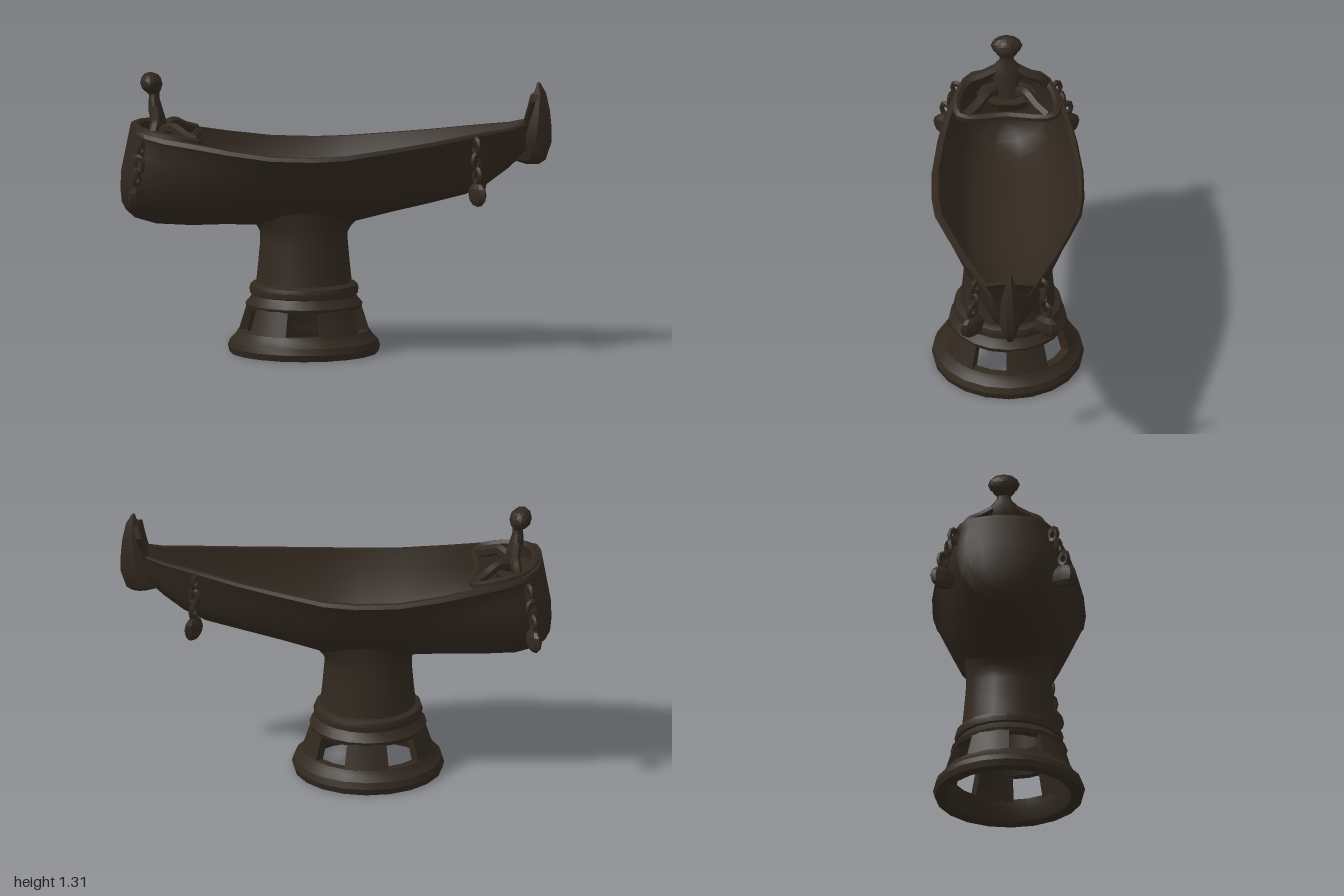
import * as THREE from 'three';
import { toCreasedNormals } from 'three/addons/utils/BufferGeometryUtils.js';

const bronze = new THREE.MeshStandardMaterial({ color: 0x31281f, side: THREE.DoubleSide });
const V = (x, y, z) => new THREE.Vector3(x, y, z);
const CX = -0.15; // axis of the pedestal

function part(parent, name, geometry, crease = 0.5) {
  const mesh = new THREE.Mesh(toCreasedNormals(geometry, crease), bronze);
  mesh.name = name;
  parent.add(mesh);
  return mesh;
}

// Skin through closed loops of equal length, optionally capped at both ends
function loft(loops, caps = true) {
  const n = loops[0].length, pos = [], idx = [];
  loops.forEach(l => l.forEach(p => pos.push(p.x, p.y, p.z)));
  for (let i = 0; i < loops.length - 1; i++) {
    for (let j = 0; j < n; j++) {
      const a = i * n + j, b = i * n + (j + 1) % n;
      idx.push(a, b, a + n, b, b + n, a + n);
    }
  }
  if (caps) {
    [0, loops.length - 1].forEach((row, end) => {
      const c = loops[row].reduce((s, p) => s.add(p), V(0, 0, 0)).divideScalar(n);
      const k = pos.length / 3;
      pos.push(c.x, c.y, c.z);
      for (let j = 0; j < n; j++) {
        const a = row * n + j, b = row * n + (j + 1) % n;
        if (end) idx.push(k, a, b); else idx.push(k, b, a);
      }
    });
  }
  const g = new THREE.BufferGeometry();
  g.setAttribute('position', new THREE.Float32BufferAttribute(pos, 3));
  g.setIndex(idx);
  g.computeVertexNormals();
  return g;
}

const lathe = pts => new THREE.LatheGeometry(pts.map(p => new THREE.Vector2(...p)), 20).translate(CX, 0, 0);

const tube = (pts, r, closed = false) =>
  new THREE.TubeGeometry(new THREE.CatmullRomCurve3(pts.map(p => V(...p)), closed), closed ? 32 : 14, r, 6, closed);

function addPedestal(g) {
  part(g, 'footRing', lathe([[0.29, 0], [0.345, 0], [0.353, 0.03], [0.343, 0.06], [0.318, 0.082],
    [0.305, 0.105], [0.265, 0.105], [0.27, 0.05], [0.29, 0]]));
  // Five pillars leave five windows between them
  for (let k = 0; k < 5; k++) {
    const loops = [16, 26, 36, 46, 56].map(deg => {
      const a = THREE.MathUtils.degToRad(deg + 72 * k);
      return [[0.265, 0.09], [0.307, 0.09], [0.266, 0.22], [0.23, 0.22]]
        .map(([r, y]) => V(CX + r * Math.sin(a), y, r * Math.cos(a)));
    });
    part(g, 'windowPillar', loft(loops));
  }
  part(g, 'collar', lathe([[0.23, 0.21], [0.266, 0.21], [0.272, 0.23], [0.25, 0.255], [0.24, 0.27],
    [0.25, 0.275], [0.253, 0.3], [0.247, 0.318], [0.222, 0.33], [0.2, 0.33], [0.23, 0.21]]));
  // Stem widens along the length of the hull where it meets it
  const stem = lathe([[0.222, 0.325], [0.212, 0.42], [0.203, 0.52], [0.2, 0.56], [0.2, 0.59], [0.2, 0.62], [0.21, 0.69]]);
  const p = stem.attributes.position;
  for (let i = 0; i < p.count; i++) {
    const dx = p.getX(i) - CX;
    const flare = THREE.MathUtils.clamp((p.getY(i) - 0.54) / 0.09, 0, 1);
    p.setX(i, CX + dx * (1 + 0.3 * flare * flare));
    p.setY(i, Math.min(p.getY(i), 0.69 - 0.28 * Math.abs(dx)));
  }
  part(g, 'stem', stem, 0.7);
}

function addHull(g) {
  // x, rim height, half width, bottom height, stern roundness
  const stations = [
    [-0.955, 1.06, 0.0, 0.75, 1], [-0.95, 1.06, 0.1, 0.705, 1], [-0.93, 1.06, 0.165, 0.67, 1],
    [-0.89, 1.05, 0.21, 0.635, 1], [-0.8, 1.03, 0.25, 0.607, 0.75], [-0.65, 1.01, 0.295, 0.6, 0.45],
    [-0.5, 0.985, 0.325, 0.605, 0.2], [-0.3, 0.96, 0.352, 0.6, 0], [-0.1, 0.955, 0.355, 0.6, 0],
    [0.05, 0.962, 0.34, 0.61, 0], [0.25, 0.985, 0.285, 0.66, 0], [0.45, 1.01, 0.225, 0.705, 0],
    [0.6, 1.033, 0.172, 0.742, 0], [0.7, 1.047, 0.138, 0.79, 0], [0.8, 1.06, 0.105, 0.865, 0],
    [0.88, 1.08, 0.08, 0.94, 0]];
  // depth fraction, width fraction amidships, width fraction at the stern
  const outer = [[0, 0.97, 0.97], [0.05, 1, 1.01], [0.09, 0.97, 0.98], [0.25, 0.89, 1.03], [0.45, 0.79, 1.04],
    [0.7, 0.66, 0.92], [0.9, 0.48, 0.62], [1, 0.18, 0.26]];
  const inner = outer.filter((_, i) => i !== 1 && i !== 2);
  const side = (st, list, inset, s) => list.map(([d, wm, ws]) => {
    const [x, rim, half, bottom, round] = st;
    const h = Math.max(0, half - inset) * (wm + (ws - wm) * round);
    const lean = -0.045 * round * Math.min(1, d * 1.4);
    return V(x + lean + (inset ? 0.03 * round : 0), rim - d * (rim - bottom - inset * 1.6), s * h);
  });
  const loops = stations.map(st => [
    ...side(st, outer, 0, 1), ...side(st, outer, 0, -1).reverse(),
    ...side(st, inner, 0.022, -1), ...side(st, inner, 0.022, 1).reverse()]);
  part(g, 'hull', loft(loops, false), 0.6);
}

function addProw(g) {
  // height, back x, front x, half thickness
  const rows = [[0.88, 0.88, 0.94, 0.015], [0.9, 0.82, 0.97, 0.035], [0.98, 0.85, 0.997, 0.05],
    [1.06, 0.87, 0.997, 0.047], [1.13, 0.89, 0.99, 0.038], [1.21, 0.917, 0.973, 0.022], [1.26, 0.932, 0.945, 0.008]];
  part(g, 'prow', loft(rows.map(([y, b, f, h]) => {
    const m = b + (f - b) * 0.5;
    return [V(b, y, h * 0.6), V(m, y, h), V(f, y, h * 0.35), V(f, y, -h * 0.35), V(m, y, -h), V(b, y, -h * 0.6)];
  })), 0.7);
  // Fan-shaped plate behind the prow
  part(g, 'prowFan', loft([[1.0, 0.85, 0.06], [1.08, 0.87, 0.075], [1.13, 0.885, 0.09], [1.185, 0.9, 0.115], [1.205, 0.915, 0.05]]
    .map(([y, x, h]) => [V(x, y, h), V(x + 0.025, y, h), V(x + 0.025, y, -h), V(x, y, -h)])));
  // Channel floor rising smoothly to the fan
  part(g, 'spoutFloor', loft([[0.6, 0.82, 0.06], [0.7, 0.93, 0.075], [0.79, 1.02, 0.08], [0.88, 1.085, 0.075]]
    .map(([x, y, h]) => [V(x, y, h), V(x, y, -h), V(x, y - 0.04, -h * 0.8), V(x, y - 0.04, h * 0.8)])), 0.8);
}

function addFigure(g) {
  const fig = new THREE.Group();
  fig.name = 'seatedFigure';
  g.add(fig);
  // Torso as stacked ovals: height, x, half depth, half width
  part(fig, 'torso', loft([[0.98, -0.81, 0.045, 0.07], [1.07, -0.82, 0.035, 0.055], [1.12, -0.835, 0.035, 0.07],
    [1.16, -0.842, 0.03, 0.065], [1.19, -0.845, 0.024, 0.035], [1.23, -0.845, 0.026, 0.028]]
    .map(([y, x, d, w]) => Array.from({ length: 8 }, (_, i) => {
      const a = -i * Math.PI / 4;
      return V(x + d * Math.cos(a), y, w * Math.sin(a));
    }))), 0.8);
  const head = part(fig, 'head', new THREE.IcosahedronGeometry(1, 1));
  head.scale.set(0.044, 0.054, 0.058);
  head.position.set(-0.85, 1.252, 0);
  const hair = part(fig, 'hair', new THREE.IcosahedronGeometry(1, 1));
  hair.scale.set(0.047, 0.05, 0.074);
  hair.position.set(-0.863, 1.26, 0);
  for (const s of [-1, 1]) {
    part(fig, 'arm', tube([[-0.842, 1.14, s * 0.05], [-0.835, 1.11, s * 0.11], [-0.84, 1.085, s * 0.16],
      [-0.85, 1.04, s * 0.185]], 0.024), 0.8);
    part(fig, 'leg', tube([[-0.82, 1.03, s * 0.04], [-0.76, 1.06, s * 0.09], [-0.7, 1.03, s * 0.14],
      [-0.65, 1.01, s * 0.19]], 0.026), 0.8);
  }
  // Looped rail and small seat that carry the figure
  part(fig, 'sternRail', tube([[-0.65, 1.01, 0.22], [-0.665, 1.0, 0], [-0.65, 1.01, -0.22], [-0.78, 1.035, -0.225],
    [-0.89, 1.05, -0.16], [-0.93, 1.055, 0], [-0.89, 1.05, 0.16], [-0.78, 1.035, 0.225]], 0.02, true), 0.8);
  const seat = part(fig, 'seat', new THREE.CylinderGeometry(0.1, 0.08, 0.05, 10));
  seat.scale.z = 1.4;
  seat.position.set(-0.83, 0.985, 0);
}

// Hanging chain with a pebble pendant; dir is the sideways direction of the pendant
function addChain(g, name, top, end, dir) {
  const chain = new THREE.Group();
  chain.name = name;
  g.add(chain);
  const yaw = Math.atan2(-dir[1], dir[0]), links = 3;
  for (let i = 0; i < links; i++) {
    const link = part(chain, 'chainLink', new THREE.TorusGeometry(0.023, 0.012, 5, 8), 0.9);
    link.scale.y = 1.4;
    link.position.copy(V(...top)).lerp(V(...end), i / (links - 1));
    link.rotation.y = yaw + (i % 2) * Math.PI / 2;
  }
  const pendant = part(chain, 'pendant', new THREE.SphereGeometry(1, 8, 6));
  pendant.scale.set(0.066, 0.058, 0.028);
  pendant.position.set(end[0], end[1] - 0.087, end[2]);
  pendant.rotation.y = yaw;
}

export function createModel() {
  const model = new THREE.Group();
  model.name = 'boatLamp';
  addPedestal(model);
  addHull(model);
  addProw(model);
  addFigure(model);
  for (const s of [-1, 1]) {
    addChain(model, 'sternChain', [-0.905, 0.98, s * 0.23], [-0.925, 0.848, s * 0.28], [-0.05, s * 0.1]);
    addChain(model, 'bowChain', [0.65, 0.985, s * 0.155], [0.655, 0.848, s * 0.172], [0.06, s * 0.09]);
  }
  return model;
}
